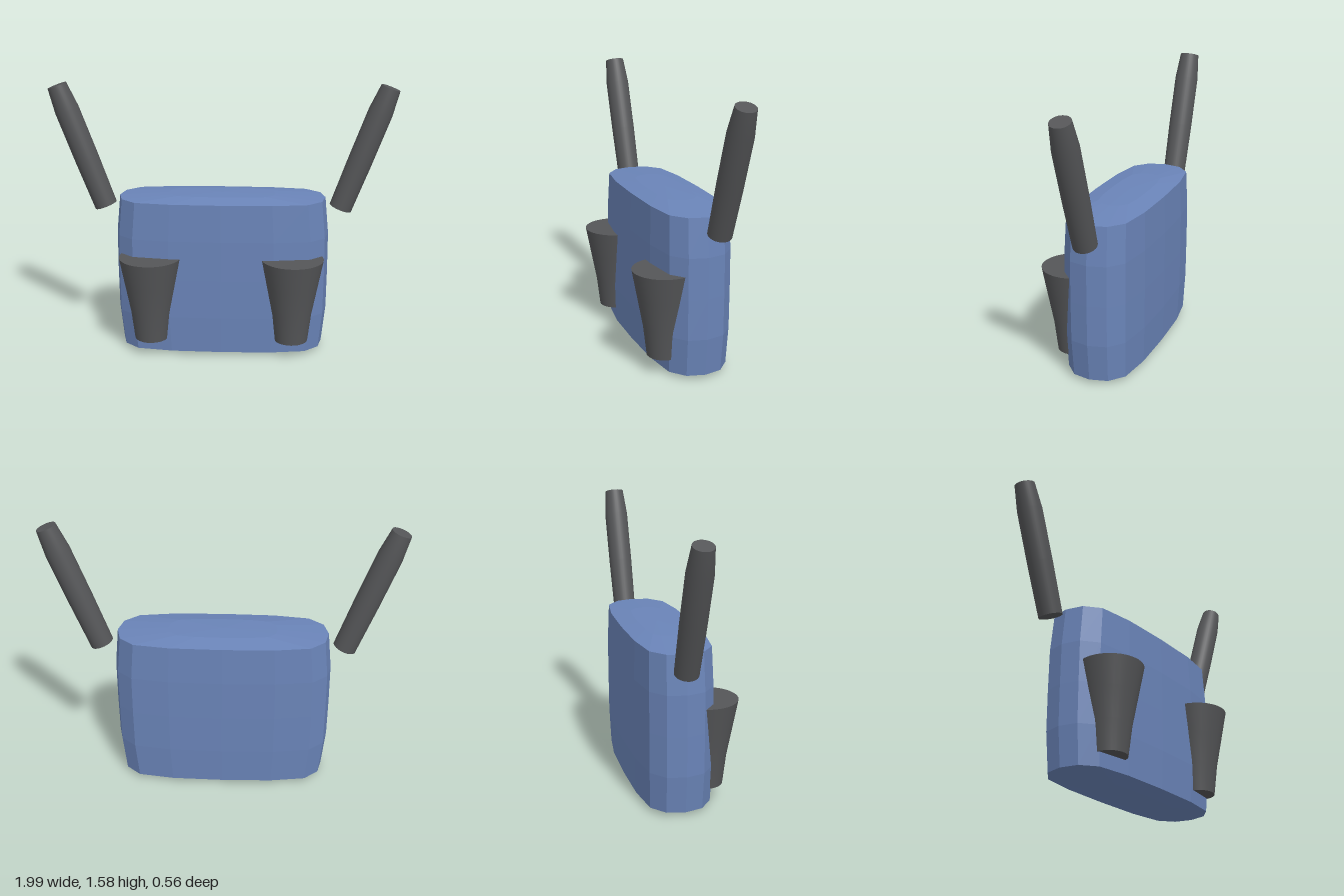
import * as THREE from 'three';

const BLUE = new THREE.MeshStandardMaterial({ color: 0x6a84b8, flatShading: true });
const DARK = new THREE.MeshStandardMaterial({ color: 0x555658 });

// Bulging body: one rounded outline stacked in rings, closed by shallow domes
function bodyGeometry() {
  const quarter = [[0.62, 0], [0.595, 0.105], [0.51, 0.178], [0.3, 0.208], [0, 0.215]];
  const outline = [
    ...quarter,
    ...quarter.slice(0, 4).reverse().map(([x, z]) => [-x, z]),
    ...quarter.slice(1).map(([x, z]) => [-x, -z]),
    ...quarter.slice(1, 4).reverse().map(([x, z]) => [x, -z]),
  ];
  // [height, scale of the outline]
  const rings = [[0, 0], [0.003, 0.5], [0.023, 0.965], [0.24, 1], [0.473, 1.003],
    [0.706, 1], [0.923, 0.965], [0.943, 0.5], [0.946, 0]];
  const n = outline.length, pos = [], idx = [];
  for (const [y, s] of rings) for (const [x, z] of outline) pos.push(x * s, y, z * s);
  for (let r = 0; r < rings.length - 1; r++) {
    for (let i = 0; i < n; i++) {
      const a = r * n + i, b = r * n + (i + 1) % n, c = a + n, d = b + n;
      if (r > 0) idx.push(a, c, b);
      if (r < rings.length - 2) idx.push(b, c, d);
    }
    if (r === rings.length - 2) continue;
  }
  // first band's fan needs its outer triangles, last band's its inner ones: both are covered above
  const geo = new THREE.BufferGeometry();
  geo.setAttribute('position', new THREE.Float32BufferAttribute(pos, 3));
  geo.setIndex(idx);
  geo.computeVertexNormals();
  return geo;
}

// Solid of revolution from [radius, height] pairs, with crisp flat ends
function turned(name, profile) {
  const group = new THREE.Group();
  group.name = name;
  const side = new THREE.Mesh(
    new THREE.LatheGeometry(profile.map(([r, y]) => new THREE.Vector2(r, y)), 32), DARK);
  side.name = name + 'Side';
  group.add(side);
  [profile[0], profile[profile.length - 1]].forEach(([r, y], i) => {
    const cap = new THREE.Mesh(new THREE.CircleGeometry(r, 32), DARK);
    cap.name = name + (i ? 'Top' : 'Bottom');
    cap.position.y = y;
    cap.rotation.x = i ? -Math.PI / 2 : Math.PI / 2;
    group.add(cap);
  });
  return group;
}

export function createModel() {
  const model = new THREE.Group();
  model.name = 'backpack';

  const body = new THREE.Mesh(bodyGeometry(), BLUE);
  body.name = 'body';
  body.position.z = -0.068;
  model.add(body);

  for (const s of [1, -1]) {
    const label = s > 0 ? 'left' : 'right';

    // Tapered cup half sunk into the front
    const cup = turned(label + 'Pocket', [[0.098, 0.1], [0.118, 0.27], [0.15, 0.44], [0.18, 0.6]]);
    cup.position.set(s * 0.41, 0, 0.1);
    model.add(cup);

    // Tilted rod beside the upper corner
    const rod = turned(label + 'Rod', [[0.066, 0], [0.07, 0.3], [0.07, 0.6], [0.056, 0.75]]);
    rod.position.set(s * 0.688, 0.852, -0.095);
    rod.rotation.z = -s * THREE.MathUtils.degToRad(20);
    model.add(rod);
  }
  return model;
}
